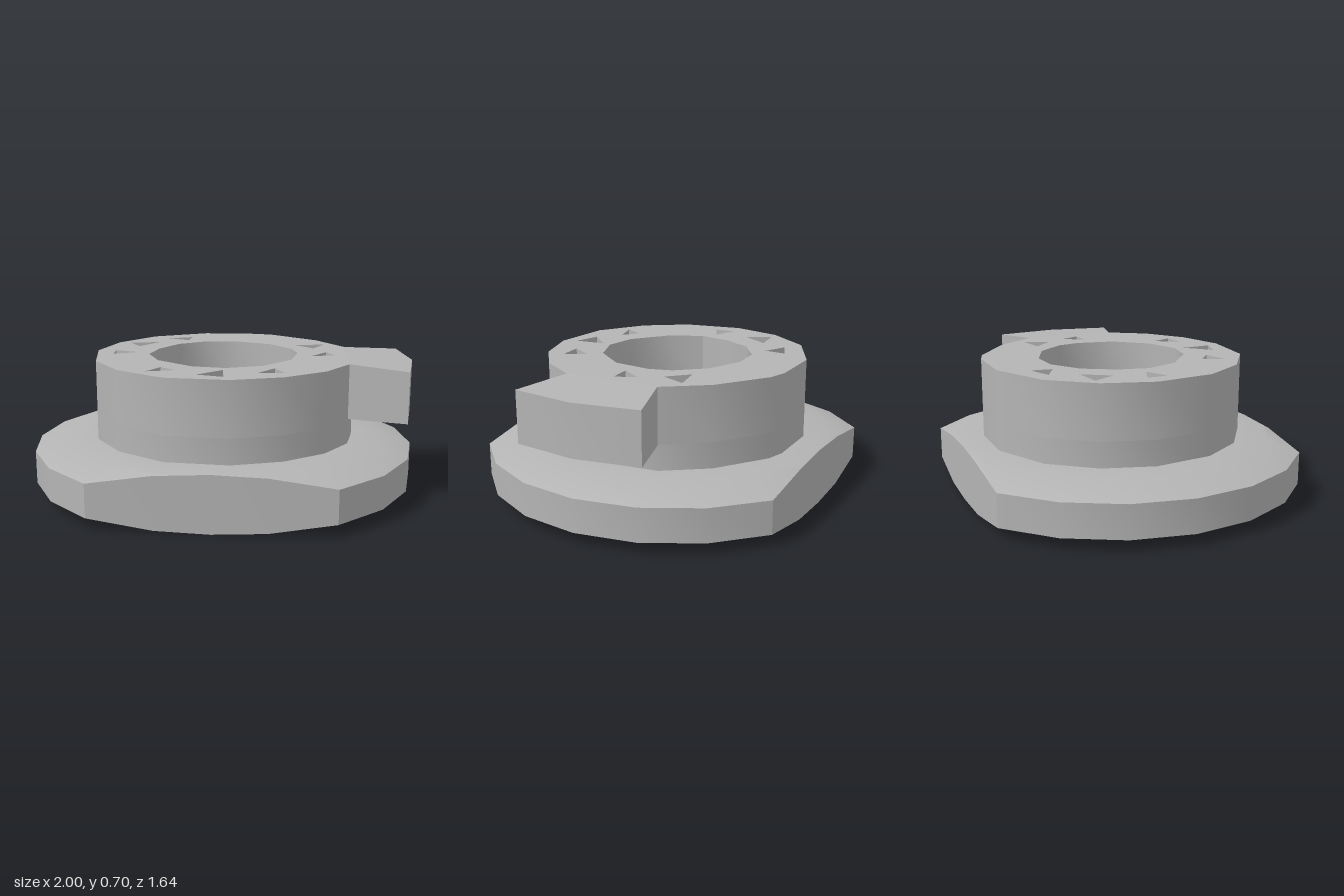
import * as THREE from 'three';
import { toCreasedNormals } from 'three/addons/utils/BufferGeometryUtils.js';

const CREASE = 0.56;
const FLAT = 0.82; // half depth between the two flats of the flange

const points = (list) => list.map(([x, z]) => new THREE.Vector2(x, z));

// Vertical prism from a plan outline (x, z) with holes, between two heights
function prism(outline, holes, bottom, top) {
  const shape = new THREE.Shape(points(outline));
  shape.holes = holes.map((h) => new THREE.Path(points(h)));
  const geometry = new THREE.ExtrudeGeometry(shape, { depth: top - bottom, bevelEnabled: false });
  geometry.rotateX(Math.PI / 2).translate(0, top, 0);
  return geometry;
}

// Round flange with chamfered rims, a recess underneath and two flats
function flangeGeometry() {
  const geometry = new THREE.LatheGeometry(points([
    [0.62, 0.208], [0.66, 0.208], [0.68, 0], [0.83, 0], [1, 0.06],
    [1, 0.23], [0.83, 0.29], [0.6, 0.29],
  ]), 20);
  const p = geometry.attributes.position;
  for (let i = 0; i < p.count; i++) {
    const x = p.getX(i), y = p.getY(i), z = p.getZ(i);
    if (Math.abs(z) <= FLAT) continue;
    // Slide the point in to the flat and let it follow the chamfer cone
    const k = FLAT / Math.abs(z);
    const r = Math.hypot(x, z) * k;
    const inset = 0.06 * Math.min(1, (1 - r) / 0.17);
    const rim = y === 0.06 || y === 0.23 || (y > 0.05 && y < 0.24);
    p.setXYZ(i, x * k, rim ? (y < 0.15 ? 0.06 - inset : 0.23 + inset) : y, z * k);
  }
  return geometry;
}

export function createModel() {
  const model = new THREE.Group();
  const grey = new THREE.MeshStandardMaterial({ color: 0xb4b4b4 });
  grey.name = 'grey';

  const add = (name, geometry) => {
    const mesh = new THREE.Mesh(toCreasedNormals(geometry, CREASE), grey);
    mesh.name = name;
    model.add(mesh);
  };

  // Collar outline, running round from the tab side
  const collar = [
    [0.65, 0.25], [0.53, 0.44], [0.33, 0.59], [0.08, 0.67], [-0.24, 0.64], [-0.48, 0.48],
    [-0.63, 0.26], [-0.68, -0.05], [-0.61, -0.31], [-0.44, -0.53], [-0.15, -0.67],
    [0.15, -0.67], [0.25, -0.64], [0.5, -0.46], [0.65, -0.25],
  ];
  const bore = [
    [0.05, -0.39], [0.24, -0.31], [0.36, -0.17], [0.39, -0.05], [0.36, 0.15], [0.22, 0.32],
    [0.04, 0.39], [-0.13, 0.36], [-0.32, 0.21], [-0.39, 0.04], [-0.36, -0.12],
    [-0.27, -0.28], [-0.12, -0.38],
  ];

  // Three-cornered bolt holes: some go right through, some are blind
  const throughHoles = [
    [[-0.35, -0.47], [-0.22, -0.52], [-0.23, -0.41]],
    [[-0.585, -0.06], [-0.46, -0.01], [-0.58, 0.05]],
    [[-0.28, 0.39], [-0.2, 0.46], [-0.34, 0.5]],
    [[0.28, 0.38], [0.33, 0.49], [0.2, 0.5]],
    [[0.545, -0.08], [0.595, 0.02], [0.47, 0.03]],
  ];
  const blindHoles = [
    [[-0.55, -0.31], [-0.39, -0.33], [-0.48, -0.19]],
    [[0.03, 0.44], [0.045, 0.6], [-0.09, 0.56]],
    [[0.54, -0.32], [0.48, -0.19], [0.38, -0.29]],
  ];
  // Five-sided openings where the through holes leave the underside
  const lowerHoles = throughHoles.map((tri) => {
    const cx = (tri[0][0] + tri[1][0] + tri[2][0]) / 3;
    const cz = (tri[0][1] + tri[1][1] + tri[2][1]) / 3;
    const turn = Math.atan2(cz, cx);
    return Array.from({ length: 5 }, (_, i) => {
      const a = turn + (i * 2 * Math.PI) / 5;
      return [cx + 0.08 * Math.cos(a), cz + 0.08 * Math.sin(a)];
    });
  });

  add('flange', flangeGeometry());
  add('upperCollar', prism(collar, [bore, ...throughHoles, ...blindHoles], 0.42, 0.7));
  add('lowerCollar', prism([[0.68, 0.07], ...collar], [bore, ...lowerHoles], 0.21, 0.42));

  // Side tab, flaring outwards, its top falling slightly to the outer end
  const tab = prism(
    [[0.65, -0.25], [0.94, -0.335], [0.99, 0], [0.94, 0.335], [0.65, 0.25]], [], 0.418, 0.7);
  const p = tab.attributes.position;
  for (let i = 0; i < p.count; i++) {
    if (p.getY(i) > 0.6 && p.getX(i) > 0.9) p.setY(i, 0.68);
  }
  add('tab', tab);

  return model;
}
